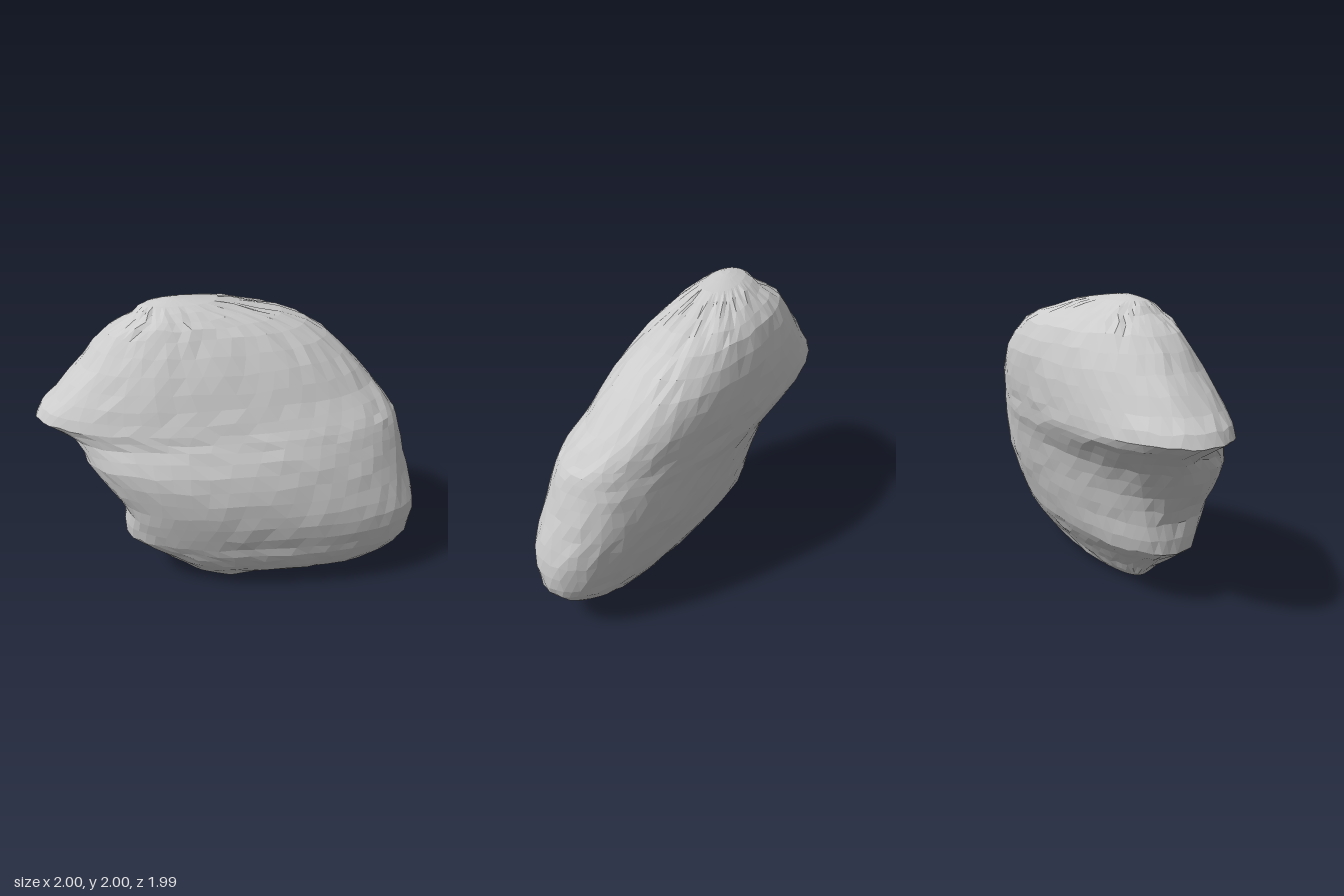
import * as THREE from 'three';

// Horizontal sections: y, xMin, xMax, zMin, zMax, half thickness
const SECTIONS = [
  [0.0, 0.08, 0.16, 0.04, 0.14, 0.03],
  [0.05, -0.1, 0.45, -0.4, 0.28, 0.12],
  [0.15, -0.19, 0.8, -0.73, 0.38, 0.23],
  [0.28, -0.34, 0.94, -0.89, 0.53, 0.32],
  [0.4, -0.5, 0.99, -0.95, 0.66, 0.38],
  [0.6, -0.54, 1.0, -0.99, 0.71, 0.45],
  [0.8, -0.6, 0.94, -1.0, 0.78, 0.49],
  [1.0, -0.72, 0.88, -0.99, 0.87, 0.5],
  [1.15, -0.88, 0.83, -0.97, 0.9, 0.5],
  [1.25, -1.0, 0.77, -0.95, 0.99, 0.49],
  [1.4, -0.92, 0.64, -0.9, 0.9, 0.47],
  [1.6, -0.81, 0.48, -0.79, 0.74, 0.43],
  [1.8, -0.68, 0.27, -0.6, 0.59, 0.34],
  [1.9, -0.53, 0.05, -0.32, 0.46, 0.24],
  [1.97, -0.44, -0.12, -0.06, 0.37, 0.12],
  [2.0, -0.33, -0.27, 0.17, 0.24, 0.025],
];
const SEGMENTS = 56;
const STEPS = 2;

// Hollows under the ledge: x, y, z, radius, depth
const DENTS = [
  [-0.62, 1.1, 0.85, 0.15, 0.06],
  [-0.38, 0.64, 0.62, 0.16, 0.06],
];

// Seeded random number in -1..1
function seeded(seed) {
  return () => {
    seed = (seed * 16807) % 2147483647;
    return (seed / 2147483647) * 2 - 1;
  };
}

// Smooth value between sections
function sectionAt(t) {
  const last = SECTIONS.length - 1;
  const i = Math.min(Math.floor(t), last - 1);
  const f = t - i;
  const at = (k) => SECTIONS[Math.max(0, Math.min(last, k))];
  return SECTIONS[0].map((_, c) => {
    const [a, b, d, e] = [at(i - 1)[c], at(i)[c], at(i + 1)[c], at(i + 2)[c]];
    return b + 0.5 * f * (d - a + f * (2 * a - 5 * b + 4 * d - e + f * (3 * (b - d) + e - a)));
  });
}

// Slanted rounded oval fitted to a section's extents
function ring([y, x0, x1, z0, z1, b], twist) {
  const hx = (x1 - x0) / 2;
  const hz = (z1 - z0) / 2;
  const a = Math.sqrt(Math.max(hx * hx + hz * hz - b * b, b * b * 1.05));
  const cos2 = THREE.MathUtils.clamp((hx * hx - hz * hz) / (a * a - b * b), -0.4, 0.4);
  const angle = -Math.acos(cos2) / 2;
  const soft = (v) => Math.sign(v) * Math.pow(Math.abs(v), 0.88);
  const points = [];
  for (let j = 0; j < SEGMENTS; j++) {
    const q = ((j + twist) / SEGMENTS) * Math.PI * 2;
    const u = a * soft(Math.cos(q));
    const w = b * soft(Math.sin(q));
    points.push(new THREE.Vector3(
      u * Math.cos(angle) - w * Math.sin(angle), y,
      u * Math.sin(angle) + w * Math.cos(angle)));
  }
  const mx = Math.max(...points.map((p) => p.x));
  const mz = Math.max(...points.map((p) => p.z));
  for (const p of points) {
    p.x = (x0 + x1) / 2 + (p.x * hx) / mx;
    p.z = (z0 + z1) / 2 + (p.z * hz) / mz;
  }
  return points;
}

function rockGeometry() {
  const random = seeded(71);
  const rows = (SECTIONS.length - 1) * STEPS;
  const positions = [];
  const index = [];

  for (let i = 0; i <= rows; i++) {
    const section = sectionAt(i / STEPS);
    const cx = (section[1] + section[2]) / 2;
    const cz = (section[3] + section[4]) / 2;
    const edge = i < 3 || i > rows - 3;
    for (const p of ring(section, (i % 2) * 0.5)) {
      // Press in the hollows, then roughen the surface
      const inward = new THREE.Vector3(cx - p.x, 0, cz - p.z).normalize();
      for (const [x, y, z, radius, depth] of DENTS) {
        const d = p.distanceTo(new THREE.Vector3(x, y, z)) / radius;
        p.addScaledVector(inward, depth * Math.exp(-d * d));
      }
      p.addScaledVector(inward, (edge ? 0.001 : 0.006) * random());
      if (!edge) p.y += 0.009 * random();
      positions.push(
        THREE.MathUtils.clamp(p.x, -1, 1), THREE.MathUtils.clamp(p.y, 0, 2),
        THREE.MathUtils.clamp(p.z, -1, 1));
    }
  }

  // Side faces, with diagonals following the staggered rings
  for (let i = 0; i < rows; i++) {
    for (let j = 0; j < SEGMENTS; j++) {
      const k = (j + 1) % SEGMENTS;
      const a = i * SEGMENTS + j;
      const b = i * SEGMENTS + k;
      const c = a + SEGMENTS;
      const d = b + SEGMENTS;
      if (i % 2) index.push(a, c, d, a, d, b);
      else index.push(a, c, b, b, c, d);
    }
  }

  // Small caps at the bottom and top
  const top = rows * SEGMENTS;
  for (let j = 1; j < SEGMENTS - 1; j++) {
    index.push(0, j, j + 1, top, top + j + 1, top + j);
  }

  const geometry = new THREE.BufferGeometry();
  geometry.setAttribute('position', new THREE.Float32BufferAttribute(positions, 3));
  geometry.setIndex(index);
  geometry.computeVertexNormals();
  return geometry;
}

export function createModel() {
  const group = new THREE.Group();
  group.name = 'rock';
  const material = new THREE.MeshStandardMaterial({ color: 0xcccccc, flatShading: true });
  const stone = new THREE.Mesh(rockGeometry(), material);
  stone.name = 'stone';
  group.add(stone);
  return group;
}
